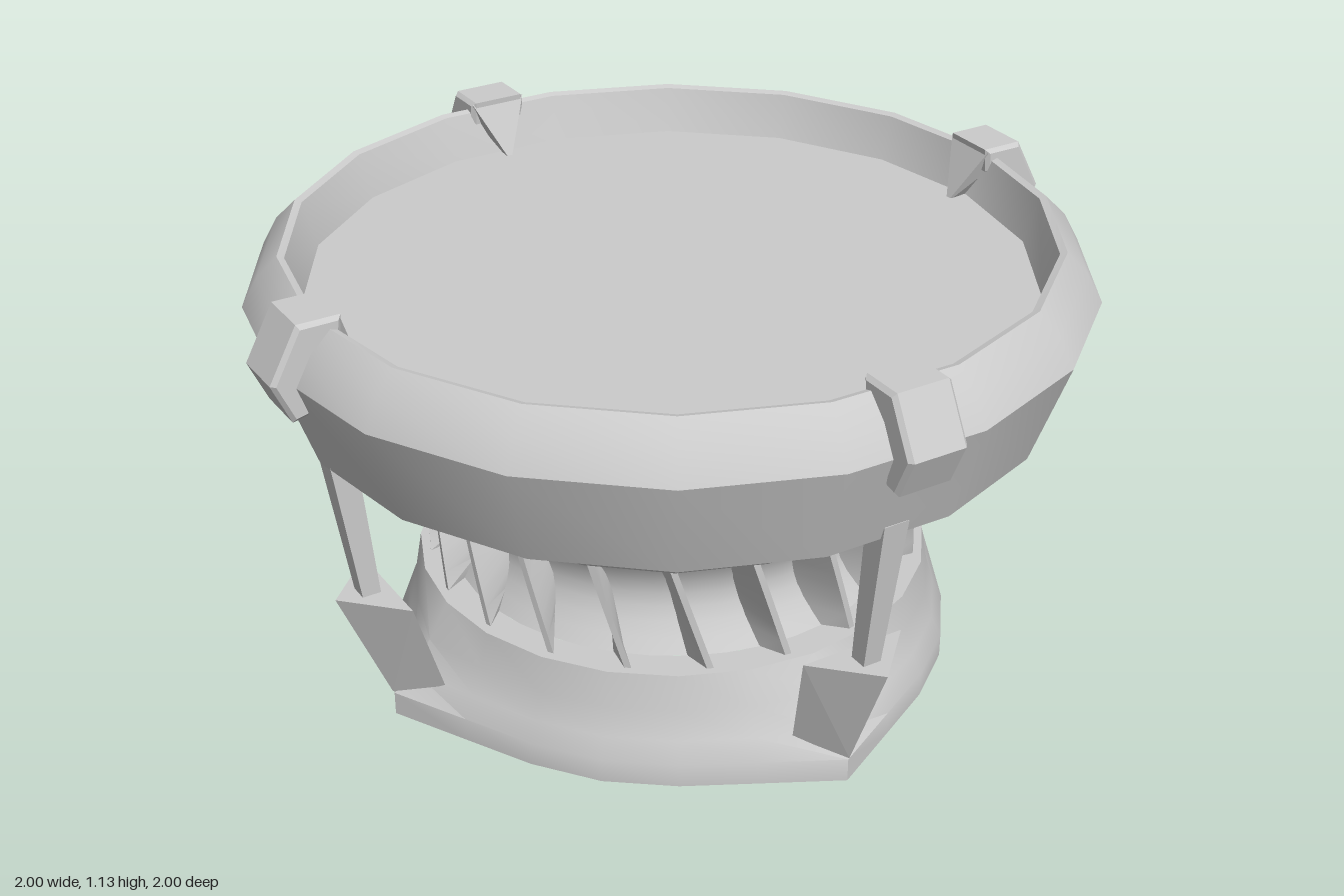
import * as THREE from 'three';
import { toCreasedNormals } from 'three/addons/utils/BufferGeometryUtils.js';
import { ConvexGeometry } from 'three/addons/geometries/ConvexGeometry.js';

const grey = new THREE.MeshStandardMaterial({ color: 0xcccccc });
const greyDouble = new THREE.MeshStandardMaterial({ color: 0xcccccc, side: THREE.DoubleSide });
const deg = THREE.MathUtils.degToRad;

function add(parent, name, geometry, material = grey) {
  const mesh = new THREE.Mesh(geometry, material);
  mesh.name = name;
  parent.add(mesh);
  return mesh;
}

// Lathe from [radius, y] pairs
const lathe = (pts, sides, start = 0) =>
  new THREE.LatheGeometry(pts.map(([r, y]) => new THREE.Vector2(r, y)), sides, deg(start));

const creased = (g, angle = 28) => toCreasedNormals(g, deg(angle));
const hull = (pts) => new ConvexGeometry(pts.map((p) => new THREE.Vector3(...p)));

// Apply a rule to every vertex
function warp(geometry, rule) {
  const pos = geometry.attributes.position;
  const v = new THREE.Vector3();
  for (let i = 0; i < pos.count; i++) {
    v.fromBufferAttribute(pos, i);
    rule(v);
    pos.setXYZ(i, v.x, v.y, v.z);
  }
  return geometry;
}

const VANE_LOW = 0.268, VANE_HIGH = 0.534;

// Waisted radius of the core between base and bowl; t runs 0..1
const coreRadius = (t) => 0.55 - 0.06 * Math.sin(Math.PI * t);

// Open base shell: round at the top, drawn out to four diagonal corners at the foot
function baseGeometry() {
  const g = lathe([
    [0.69, 0], [0.69, 0.06], [0.665, 0.11], [0.645, 0.18], [0.63, 0.268], [0.55, 0.268],
  ], 24);
  warp(g, (v) => {
    const fromAxis = Math.abs(Math.atan2(v.x, v.z)) % (Math.PI / 2);
    const a = Math.min(fromAxis, Math.PI / 2 - fromAxis);
    const corner = 1 / Math.cos(Math.max(0, a - deg(17))) - 1;
    const s = 1 + corner * THREE.MathUtils.clamp((0.268 - v.y) / 0.208, 0, 1);
    v.x *= s;
    v.z *= s;
  });
  return creased(g, 35);
}

// Thin pitched blade from the core outward, leaning as it descends
function vaneGeometry() {
  const h = VANE_HIGH - VANE_LOW;
  const g = new THREE.BoxGeometry(0.016, h, 0.1, 1, 6, 1);
  warp(g, (v) => {
    const t = v.y / h + 0.5;
    const outer = v.z > 0;
    const r = outer ? 0.605 : coreRadius(t) - 0.005;
    const a = deg(8) * (1 - t) - (outer ? 0 : deg(4));
    const x = v.x;
    v.set(x * Math.cos(a) + r * Math.sin(a), VANE_LOW + t * h, r * Math.cos(a) - x * Math.sin(a));
  });
  return creased(g);
}

// Hook-shaped clamp section, extruded across the rim
function clampGeometry() {
  const width = 0.15, bevel = 0.01;
  const section = new THREE.Shape([
    [0.87, 1.13], [0.875, 1.07], [0.92, 1.06], [0.97, 0.99], [0.955, 0.91],
    [1.0, 0.9], [1.045, 1.0], [0.975, 1.13],
  ].map(([r, y]) => new THREE.Vector2(r, y)));
  const g = new THREE.ExtrudeGeometry(section, {
    depth: width - 2 * bevel, bevelEnabled: true, bevelThickness: bevel,
    bevelSize: bevel, bevelOffset: -bevel, bevelSegments: 1,
  });
  g.rotateY(-Math.PI / 2);
  g.translate(width / 2 - bevel, 0, 0);
  return g;
}

export function createModel() {
  const model = new THREE.Group();
  model.name = 'pedestal';

  add(model, 'base', baseGeometry(), greyDouble);

  // Core tube
  const corePts = [];
  for (let i = 0; i <= 8; i++) {
    corePts.push([coreRadius(i / 8), VANE_LOW + (VANE_HIGH - VANE_LOW) * (i / 8)]);
  }
  add(model, 'core', lathe(corePts, 40), greyDouble);

  // Ring of leaning vanes
  const vanes = new THREE.Group();
  vanes.name = 'vanes';
  model.add(vanes);
  const vane = vaneGeometry();
  for (let i = 0; i < 20; i++) {
    add(vanes, 'vane', vane).rotation.y = deg(-4 + i * 18);
  }

  // Bowl, rim and inset top share the same 18 sides
  const SIDES = 18, START = 14.3;
  add(model, 'bowl', creased(lathe([[0, 0.534], [0.61, 0.534], [0.77, 0.735]], SIDES, START)));
  add(model, 'rim', creased(lathe([
    [0.77, 0.735], [0.915, 0.735], [1.003, 0.985], [0.965, 1.055], [0.915, 1.105], [0.898, 1.1], [0.865, 0.99],
  ], SIDES, START)));
  add(model, 'topDisc', creased(lathe([[0.865, 0.99], [0, 0.99]], SIDES, START)));

  // Four diagonal supports, built with +z pointing outward
  const clamp = clampGeometry();
  const clampTip = hull([
    [-0.073, 1.125, 0.875], [0.073, 1.125, 0.875], [0, 0.975, 0.81],
    [-0.05, 1.06, 0.89], [0.05, 1.06, 0.89], [0, 0.985, 0.87],
  ]);
  const foot = hull([
    [0, 0.372, 0.912], [-0.134, 0.372, 0.778], [0.134, 0.372, 0.778],
    [0, 0.066, 0.785], [-0.095, 0.105, 0.69], [0.095, 0.105, 0.69],
  ]);
  const strut = new THREE.CylinderGeometry(0.046, 0.032, 0.42, 4, 1).rotateY(Math.PI / 4).toNonIndexed();
  strut.computeVertexNormals();
  strut.rotateX(0.13).translate(0, 0.565, 0.855);

  for (let i = 0; i < 4; i++) {
    const support = new THREE.Group();
    support.name = 'support';
    support.rotation.y = Math.PI / 4 + (i * Math.PI) / 2;
    add(support, 'foot', foot);
    add(support, 'strut', strut);
    add(support, 'clamp', clamp);
    add(support, 'clampTip', clampTip);
    model.add(support);
  }
  return model;
}
